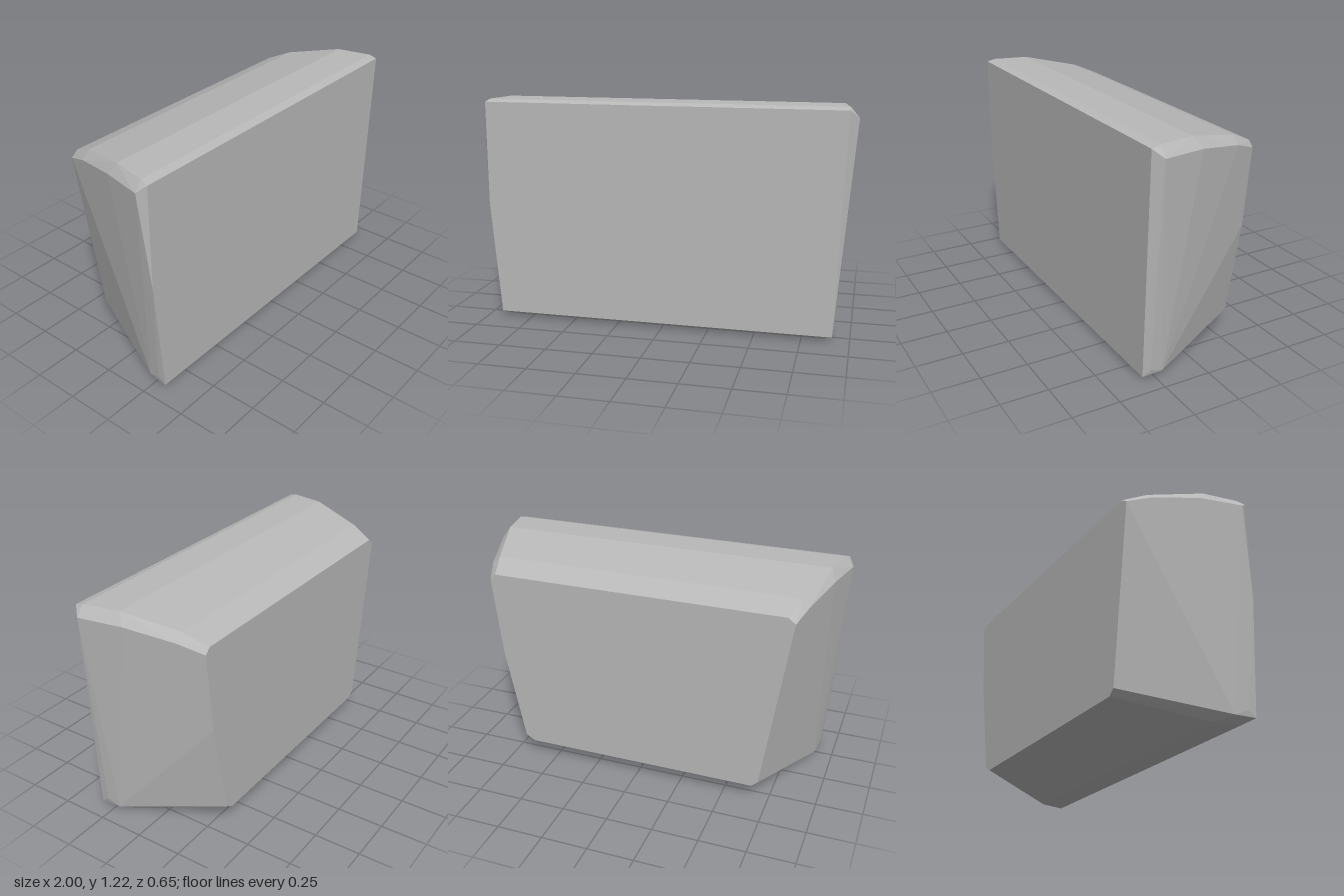
import * as THREE from 'three';
import { ConvexGeometry } from 'three/addons/geometries/ConvexGeometry.js';

// Cross-sections from front to back, each a list of [x, y] corners
const sections = [
  { z: 0.325, corners: [[-0.97, 1.205], [0.955, 1.205], [0.91, 0.03], [-0.92, 0.03], [-0.97, 0.65]] },
  { z: 0.28, corners: [[-0.96, 1.218], [0.955, 1.218], [1, 1.165], [-1, 1.165], [0.915, 0.06], [-0.92, 0.06], [-0.85, 0.004], [0.86, 0.004]] },
  { z: 0.21, corners: [[0.905, 0.03], [-0.905, 0.03]] },
  { z: 0.14, corners: [[0.83, 0.003], [-0.83, 0.003], [0.875, 0.055], [-0.875, 0.055]] },
  { z: 0.09, corners: [[-0.92, 1.218], [0.92, 1.218]] },
  { z: 0.05, corners: [[-0.945, 1.16], [0.953, 1.16]] },
  { z: -0.2, corners: [[-0.83, 1.155], [0.83, 1.155], [0.875, 1.115], [-0.87, 1.115]] },
  { z: -0.325, corners: [[-0.79, 1.1], [0.795, 1.1], [0.825, 1.07], [0.78, 0.64], [0.68, 0.12], [0.63, 0.09], [-0.66, 0.09], [-0.695, 0.12], [-0.83, 1.07]] },
];

export function createModel() {
  const group = new THREE.Group();
  const stone = new THREE.MeshStandardMaterial({ color: 0xb8b8b8, flatShading: true });
  stone.name = 'stoneGrey';

  // Faceted block: the skin stretched over all sections
  const points = sections.flatMap(({ z, corners }) =>
    corners.map(([x, y]) => new THREE.Vector3(x, y - 0.003, z)));
  const block = new THREE.Mesh(new ConvexGeometry(points), stone);
  block.name = 'block';
  group.add(block);
  return group;
}
